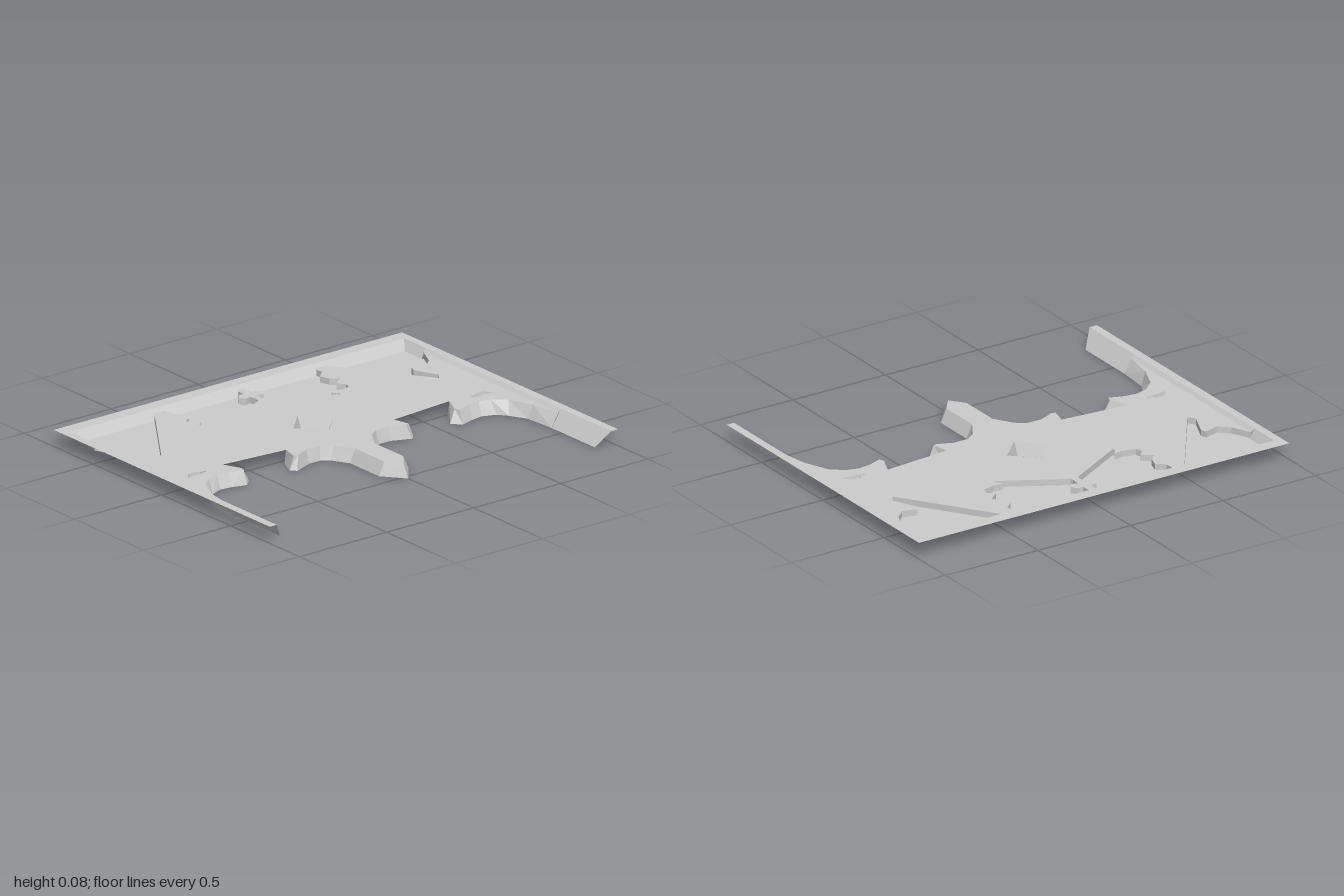
import * as THREE from 'three';

const material = new THREE.MeshStandardMaterial({ color: 0xcccccc, flatShading: true, side: THREE.DoubleSide });
const RIM = 0.08, PLATE = 0.064, FLOOR = 0.034;

function addMesh(parent, name, geometry) {
  const mesh = new THREE.Mesh(geometry, material);
  mesh.name = name;
  parent.add(mesh);
}

// Flat sheet from [x, z] points at height y
function sheet(points, y, holes = []) {
  const flip = (list) => list.map(([x, z]) => new THREE.Vector2(x, -z));
  const shape = new THREE.Shape(flip(points));
  for (const hole of holes) shape.holes.push(new THREE.Path(flip(hole)));
  return new THREE.ShapeGeometry(shape).rotateX(-Math.PI / 2).translate(0, y, 0);
}

// Band of quads between two rows of [x, z] points
function band(top, yTop, bottom, yBottom) {
  const pos = [];
  for (let i = 0; i < top.length - 1; i++) {
    const a = [top[i][0], yTop, top[i][1]], b = [top[i + 1][0], yTop, top[i + 1][1]];
    const c = [bottom[i][0], yBottom, bottom[i][1]], d = [bottom[i + 1][0], yBottom, bottom[i + 1][1]];
    pos.push(...a, ...c, ...b, ...b, ...c, ...d);
  }
  const geometry = new THREE.BufferGeometry();
  geometry.setAttribute('position', new THREE.Float32BufferAttribute(pos, 3));
  geometry.computeVertexNormals();
  return geometry;
}

// Scalloped edge of the middle recess, with half of the trefoil
const middleEdge = [
  [0.02, -0.685], [0.02, -0.645], [0.05, -0.645], [0.07, -0.615], [0.05, -0.59], [0.02, -0.6],
  [0.015, -0.555], [0.02, -0.54], [0.32, -0.37], [0.325, -0.385], [0.3, -0.415], [0.35, -0.41],
  [0.41, -0.425], [0.42, -0.46], [0.39, -0.49], [0.44, -0.53], [0.405, -0.56], [0.39, -0.61],
  [0.43, -0.645], [0.43, -0.685],
];
// Edge of the corner recess
const cornerEdge = [
  [0.5, -0.685], [0.797, -0.26], [0.82, -0.295], [0.77, -0.41], [0.78, -0.44], [0.85, -0.42],
  [0.9, -0.465], [0.945, -0.56],
];
// Outer arch, from the leg to its cusp: upper and lower edge
const outerTop = [
  [0.945, 0.42], [0.92, 0.27], [0.87, 0.15], [0.81, 0.1], [0.75, 0.083], [0.69, 0.09],
  [0.62, 0.115], [0.61, 0.09], [0.65, 0],
];
const outerBottom = [
  [0.905, 0.42], [0.893, 0.26], [0.85, 0.18], [0.815, 0.135], [0.75, 0.11], [0.69, 0.118],
  [0.62, 0.138], [0.578, 0.098], [0.64, 0],
];
// Inner arch, from its cusp to the tip of the middle pendant
const innerTop = [
  [0.31, 0.03], [0.33, 0.11], [0.31, 0.115], [0.235, 0.083], [0.16, 0.085], [0.11, 0.12],
  [0.055, 0.21], [0.055, 0.42], [0, 0.49],
];
const innerBottom = [
  [0.32, 0.03], [0.355, 0.112], [0.33, 0.139], [0.235, 0.1], [0.17, 0.1], [0.13, 0.13],
  [0.085, 0.21], [0.085, 0.42], [0, 0.525],
];
const diamond = (r) => [[0, -0.165 + r], [r, -0.165], [0, -0.165 - r]];
const slot = [[0.877, 0.037], [0.845, -0.005], [0.8, -0.005], [0.79, 0.012], [0.76, 0.008], [0.765, 0.025]];

function buildHalf() {
  const half = new THREE.Group();

  // Pierced plate
  const outline = [
    [0, -0.7], [0.02, -0.7], ...middleEdge, [0.43, -0.7], [0.5, -0.7], ...cornerEdge,
    ...outerTop, ...innerTop, ...diamond(0.115),
  ];
  addMesh(half, 'plate', sheet(outline, PLATE, [slot]));

  // Sunken panels and their walls
  for (const [name, edge, close] of [
    ['middleRecess', middleEdge, []],
    ['cornerRecess', cornerEdge, [[0.935, -0.56], [0.935, -0.685]]],
  ]) {
    addMesh(half, name + 'Floor', sheet([...edge, ...close], FLOOR));
    addMesh(half, name + 'Wall', band(edge, PLATE, edge, FLOOR));
  }

  // Sloping edges of the arches and openings
  addMesh(half, 'outerArchSkirt', band(outerTop, PLATE, outerBottom, 0));
  addMesh(half, 'innerArchSkirt', band(innerTop, PLATE, innerBottom, 0));
  addMesh(half, 'diamondSkirt', band(diamond(0.115), PLATE, diamond(0.085), 0));
  const slotLoop = [...slot, slot[0]];
  const slotLower = slotLoop.map(([x, z]) => [0.82 + (x - 0.82) * 0.85, 0.013 + (z - 0.013) * 0.75]);
  addMesh(half, 'slotSkirt', band(slotLoop, PLATE, slotLower, FLOOR));

  // Flat rim and its bevels
  addMesh(half, 'rim', sheet([[0, -0.785], [1, -0.785], [1, 0.785], [0.96, 0.785], [0.96, -0.72], [0, -0.72]], RIM));
  addMesh(half, 'backBevel', band([[0, -0.72], [0.96, -0.72]], RIM, [[0, -0.685], [0.935, -0.685]], FLOOR));
  addMesh(half, 'cornerBevel', band([[0.96, -0.72], [0.96, -0.56]], RIM, [[0.935, -0.685], [0.935, -0.56]], FLOOR));
  addMesh(half, 'sideBevel', band([[0.96, -0.56], [0.96, 0.42]], RIM, [[0.945, -0.56], [0.945, 0.42]], PLATE));
  addMesh(half, 'legSlope', band([[0.96, 0.42], [0.96, 0.785]], RIM, [[0.905, 0.42], [0.905, 0.735]], 0));
  return half;
}

export function createModel() {
  const model = new THREE.Group();
  model.name = 'archedPanel';
  const left = buildHalf();
  left.name = 'leftHalf';
  const right = buildHalf();
  right.name = 'rightHalf';
  right.scale.x = -1;
  model.add(left, right);
  return model;
}
